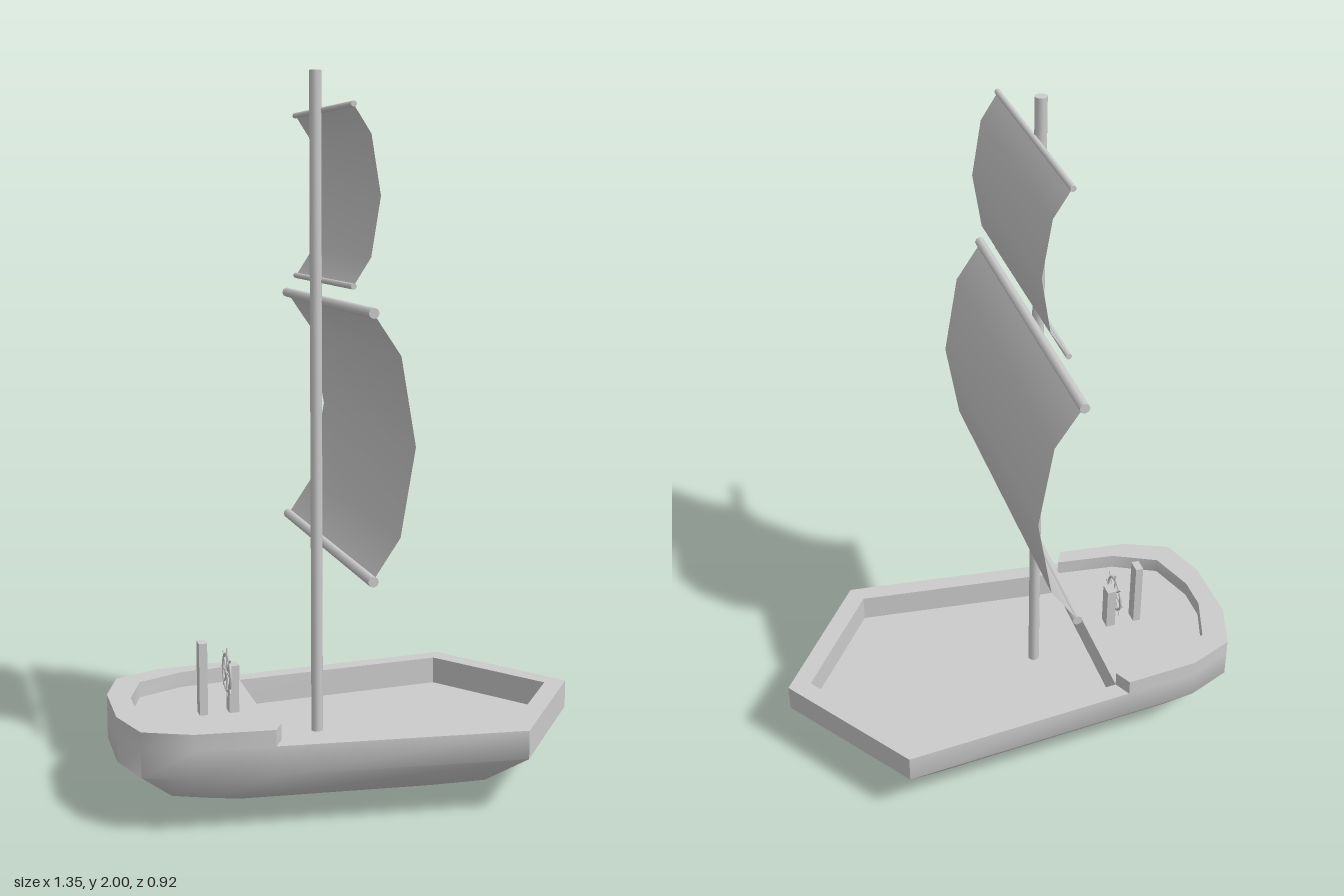
import * as THREE from 'three';
import { mergeGeometries, toCreasedNormals } from 'three/addons/utils/BufferGeometryUtils.js';

const grey = new THREE.MeshStandardMaterial({ color: 0xcccccc });
const cloth = new THREE.MeshStandardMaterial({ color: 0xcccccc, side: THREE.DoubleSide });

// Half outlines in plan as [x, z], from stern to bow.
const OUTER = [[-0.675, 0.1], [-0.63, 0.24], [-0.5, 0.297], [-0.285, 0.318], [0.4, 0.385], [0.672, 0]];
const INNER = [[-0.615, 0.05], [-0.57, 0.187], [-0.44, 0.25], [-0.26, 0.27], [0.37, 0.33], [0.605, 0]];
const AFT = 4; // number of outline points that belong to the raised stern

const mirrored = (pts) => pts.map(([x, z]) => [x, -z]).reverse();
const fullLoop = (half) => [...half, ...mirrored(half.slice(0, -1))];

// Closed band of quads between two loops; faces outward for a stern-to-bow loop on +z.
function band(low, lowY, high, highY) {
  const pos = [];
  low.forEach((a, i) => {
    const j = (i + 1) % low.length;
    const p = [a[0], lowY, a[1]], q = [low[j][0], lowY, low[j][1]];
    const r = [high[j][0], highY, high[j][1]], s = [high[i][0], highY, high[i][1]];
    pos.push(...p, ...q, ...r, ...p, ...r, ...s);
  });
  const g = new THREE.BufferGeometry();
  g.setAttribute('position', new THREE.Float32BufferAttribute(pos, 3));
  return g;
}

// Flat face at height y, looking up or down.
function cap(loop, y, hole, down = false) {
  const shape = new THREE.Shape(loop.map(([x, z]) => new THREE.Vector2(x, z)));
  if (hole) shape.holes.push(new THREE.Path(hole.map(([x, z]) => new THREE.Vector2(x, z))));
  const g = new THREE.ShapeGeometry(shape).toNonIndexed();
  g.rotateX(down ? Math.PI / 2 : -Math.PI / 2).translate(0, y, 0);
  g.deleteAttribute('uv');
  g.deleteAttribute('normal');
  return g;
}

function add(parent, name, geometry, x = 0, y = 0, z = 0, material = grey) {
  const mesh = new THREE.Mesh(geometry, material);
  mesh.name = name;
  mesh.position.set(x, y, z);
  parent.add(mesh);
  return mesh;
}

function hullGeometry() {
  const outline = fullLoop(OUTER);
  const well = [...INNER.slice(AFT - 1), ...mirrored(INNER.slice(AFT - 1, -1))];
  const aftOuter = [...mirrored(OUTER.slice(0, AFT)), ...OUTER.slice(0, AFT)];
  const aftInner = [...mirrored(INNER.slice(0, AFT)), ...INNER.slice(0, AFT)];
  const aftRim = [...aftOuter, ...aftInner.reverse()];

  // Shell levels: [y, x scale, z scale, x shift]
  const rings = [[0, 0.24, 0.13, -0.08], [0.042, 0.595, 0.53, -0.05], [0.085, 0.82, 0.81, -0.027],
    [0.16, 1, 1, 0], [0.24, 1, 1, 0]]
    .map(([y, sx, sz, dx]) => ({ y, pts: outline.map(([x, z]) => [x * sx + dx, z * sz]) }));
  const parts = [cap(rings[0].pts, 0, null, true)];
  for (let i = 0; i < rings.length - 1; i++) {
    parts.push(band(rings[i].pts, rings[i].y, rings[i + 1].pts, rings[i + 1].y));
  }
  // Rim with stern deck, sunken main deck, raised stern rim
  const inside = [...well].reverse();
  parts.push(cap(outline, 0.24, well), band(inside, 0.16, inside, 0.24), cap(well, 0.16));
  parts.push(band(aftRim, 0.24, aftRim, 0.285), cap(aftRim, 0.285));
  return toCreasedNormals(mergeGeometries(parts), 0.9);
}

// Square sail bulging toward the bow, hung between two yards.
function addSail(parent, name, { low, high, width, yardWidth, yardRadius, x, bulge }) {
  const group = new THREE.Group();
  group.name = name;
  const profile = [[0, 0], [0.16, 0.65], [0.5, 1], [0.84, 0.65], [1, 0]];
  const g = new THREE.PlaneGeometry(width, 1, 1, profile.length - 1).rotateY(Math.PI / 2);
  const p = g.attributes.position;
  for (let i = 0; i < p.count; i++) {
    const [t, b] = profile[Math.floor(i / 2)];
    p.setX(i, x + b * bulge);
    p.setY(i, high - t * (high - low));
  }
  g.computeVertexNormals();
  add(group, 'sailCloth', g, 0, 0, 0, cloth);
  for (const y of [low, high]) {
    const yard = new THREE.CylinderGeometry(yardRadius, yardRadius, yardWidth, 8).rotateX(Math.PI / 2);
    add(group, 'yard', yard, x, y, 0);
  }
  parent.add(group);
}

function addWheel(parent) {
  const wheel = new THREE.Group();
  wheel.name = 'steeringWheel';
  wheel.position.set(-0.352, 0.352, 0);
  add(wheel, 'wheelRim', new THREE.TorusGeometry(0.052, 0.004, 6, 20).rotateY(Math.PI / 2));
  add(wheel, 'wheelHub', new THREE.CylinderGeometry(0.01, 0.01, 0.01, 8).rotateZ(Math.PI / 2));
  for (let i = 0; i < 4; i++) {
    const spoke = new THREE.CylinderGeometry(0.0025, 0.0025, 0.14, 6);
    add(wheel, 'spoke', spoke).rotation.x = i * Math.PI / 4;
  }
  parent.add(wheel);
}

export function createModel() {
  const ship = new THREE.Group();
  ship.name = 'sailingShip';
  add(ship, 'hull', hullGeometry());

  // Mast and sails
  add(ship, 'mast', new THREE.CylinderGeometry(0.017, 0.017, 1.84, 8), -0.092, 1.08, 0);
  addSail(ship, 'mainSail',
    { low: 0.7, high: 1.38, width: 0.9, yardWidth: 0.916, yardRadius: 0.014, x: -0.063, bulge: 0.113 });
  addSail(ship, 'topSail',
    { low: 1.438, high: 1.895, width: 0.604, yardWidth: 0.614, yardRadius: 0.008, x: -0.072, bulge: 0.073 });

  // Helm on the stern deck
  add(ship, 'tallPost', new THREE.BoxGeometry(0.023, 0.205, 0.04), -0.422, 0.3425, 0);
  add(ship, 'wheelPost', new THREE.BoxGeometry(0.028, 0.135, 0.04), -0.336, 0.3075, 0);
  addWheel(ship);
  return ship;
}
